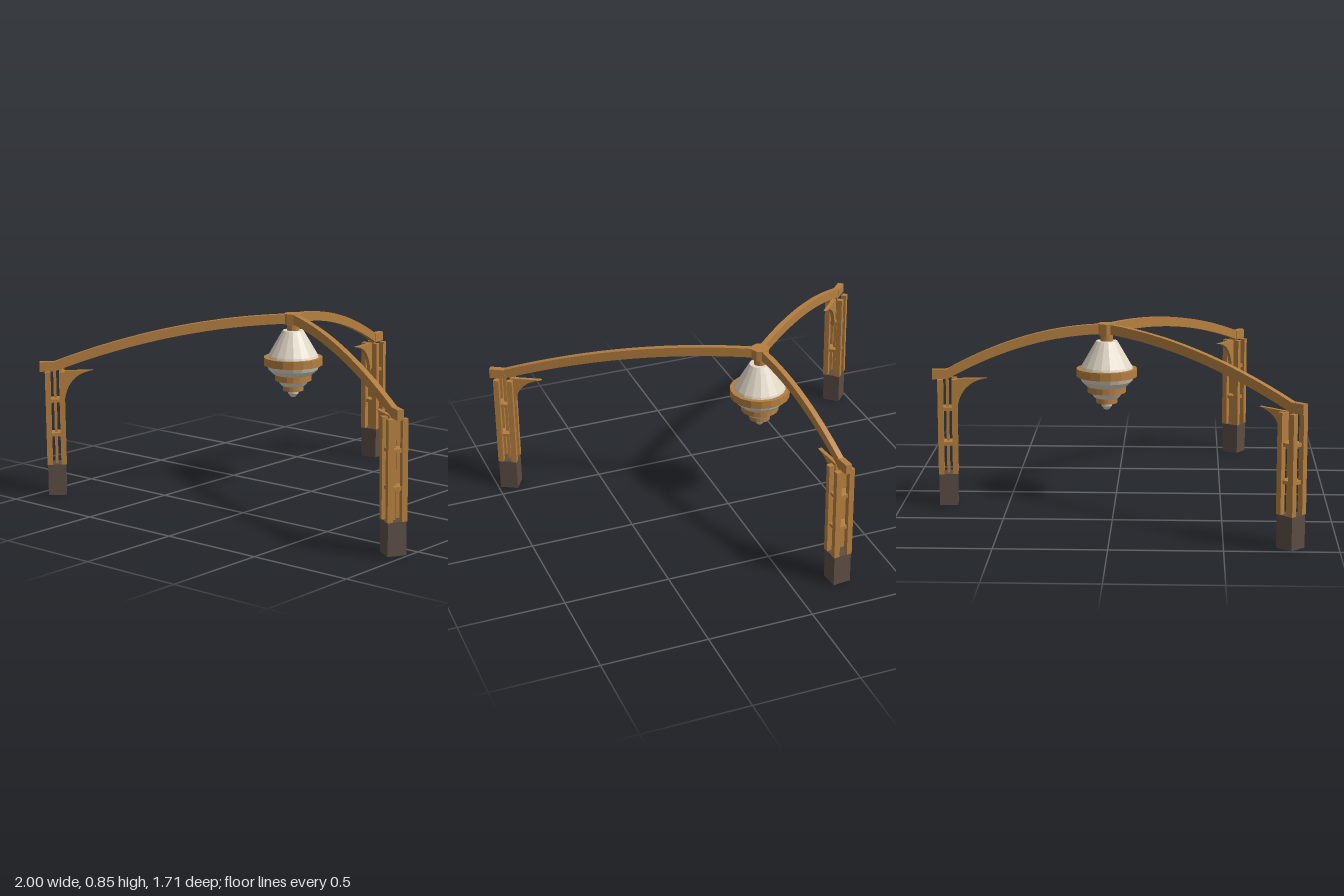
import * as THREE from 'three';

const wood = new THREE.MeshStandardMaterial({ color: 0xb57f40, flatShading: true });
wood.name = 'wood';
const stone = new THREE.MeshStandardMaterial({ color: 0x5c4d44, flatShading: true });
stone.name = 'darkStone';
const paper = new THREE.MeshStandardMaterial({ color: 0xe0d7c6, flatShading: true });
paper.name = 'paleShade';

const HUB = [-0.145, -0.04];
const LEGS = [['back', -0.222, -0.783], ['right', -0.932, 0.79], ['left', 0.93, 0.586]];

function add(parent, name, geometry, material, x = 0, y = 0, z = 0) {
  const mesh = new THREE.Mesh(geometry, material);
  mesh.name = name;
  mesh.position.set(x, y, z);
  parent.add(mesh);
  return mesh;
}

function box(parent, name, w, h, d, material, x, y, z) {
  return add(parent, name, new THREE.BoxGeometry(w, h, d), material, x, y, z);
}

// Flat outline in the x-y plane given a thickness centred on z = 0
function slab(shape, thickness) {
  return new THREE.ExtrudeGeometry(shape, { depth: thickness, bevelEnabled: false, curveSegments: 10 })
    .translate(0, 0, -thickness / 2);
}

// Arched beam that leaves the hub level and drops to the leg
function beamShape(length) {
  const steps = 16, top = [], bottom = [];
  for (let i = 0; i <= steps; i++) {
    const t = i / steps, y = 0.85 - 0.205 * t * t;
    top.push(new THREE.Vector2(t * length, y));
    bottom.unshift(new THREE.Vector2(t * length, y - 0.046));
  }
  return new THREE.Shape([...top, ...bottom]);
}

// Tower leg centred on its own origin; -x points to the hub
function makeLeg() {
  const leg = new THREE.Group();
  box(leg, 'footing', 0.087, 0.15, 0.087, stone, 0, 0.075, 0);
  for (const x of [-0.033, 0.033]) {
    for (const z of [-0.033, 0.033]) box(leg, 'post', 0.026, 0.45, 0.026, wood, x, 0.375, z);
  }
  box(leg, 'corePost', 0.014, 0.45, 0.014, wood, 0, 0.375, 0);
  for (const y of [0.295, 0.46]) box(leg, 'shelf', 0.074, 0.016, 0.074, wood, 0, y, 0);
  box(leg, 'beamEnd', 0.076, 0.046, 0.03, wood, 0.032, 0.622, 0);

  // Curved brace under the beam
  const brace = new THREE.Shape();
  brace.moveTo(-0.03, 0.6);
  brace.lineTo(-0.185, 0.6);
  brace.quadraticCurveTo(-0.06, 0.585, -0.044, 0.45);
  brace.lineTo(-0.03, 0.45);
  brace.closePath();
  add(leg, 'brace', slab(brace, 0.018), wood);
  return leg;
}

// Hanging lantern: pale turned shades separated by wooden bands
function makeLantern() {
  const lantern = new THREE.Group();
  lantern.name = 'lantern';
  const turned = (name, material, profile) => add(lantern, name,
    new THREE.LatheGeometry(profile.map(([r, y]) => new THREE.Vector2(r, y)), 18), material);
  const band = (name, r, y0, y1, sides = 18) => add(lantern, name,
    new THREE.CylinderGeometry(r, r, y1 - y0, sides), wood, 0, (y0 + y1) / 2, 0);

  band('hub', 0.045, 0.8, 0.852, 8);
  band('neck', 0.03, 0.765, 0.802, 12);
  turned('upperShade', paper, [[0.125, 0.635], [0.12, 0.65], [0.065, 0.745], [0.05, 0.77], [0, 0.77]]);
  band('wideBand', 0.143, 0.602, 0.64);
  turned('middleShade', paper, [[0.08, 0.55], [0.095, 0.556], [0.12, 0.58], [0.13, 0.605]]);
  band('middleBand', 0.09, 0.526, 0.555);
  turned('lowerShade', paper, [[0.045, 0.495], [0.06, 0.502], [0.08, 0.53]]);
  band('smallBand', 0.05, 0.475, 0.5);
  turned('finial', paper, [[0, 0.44], [0.012, 0.444], [0.025, 0.46], [0.028, 0.478]]);
  return lantern;
}

export function createModel() {
  const model = new THREE.Group();
  model.name = 'lanternArch';

  const lantern = makeLantern();
  lantern.position.set(HUB[0], 0, HUB[1]);
  model.add(lantern);

  // Three arms of different reach, each with a leg at its end
  for (const [side, x, z] of LEGS) {
    const dx = x - HUB[0], dz = z - HUB[1], reach = Math.hypot(dx, dz);
    const arm = new THREE.Group();
    arm.name = side + 'Arm';
    arm.position.set(HUB[0], 0, HUB[1]);
    arm.rotation.y = Math.atan2(-dz, dx);
    add(arm, side + 'Beam', slab(beamShape(reach), 0.026), wood);
    const leg = makeLeg();
    leg.name = side + 'Leg';
    leg.position.x = reach;
    arm.add(leg);
    model.add(arm);
  }
  return model;
}
